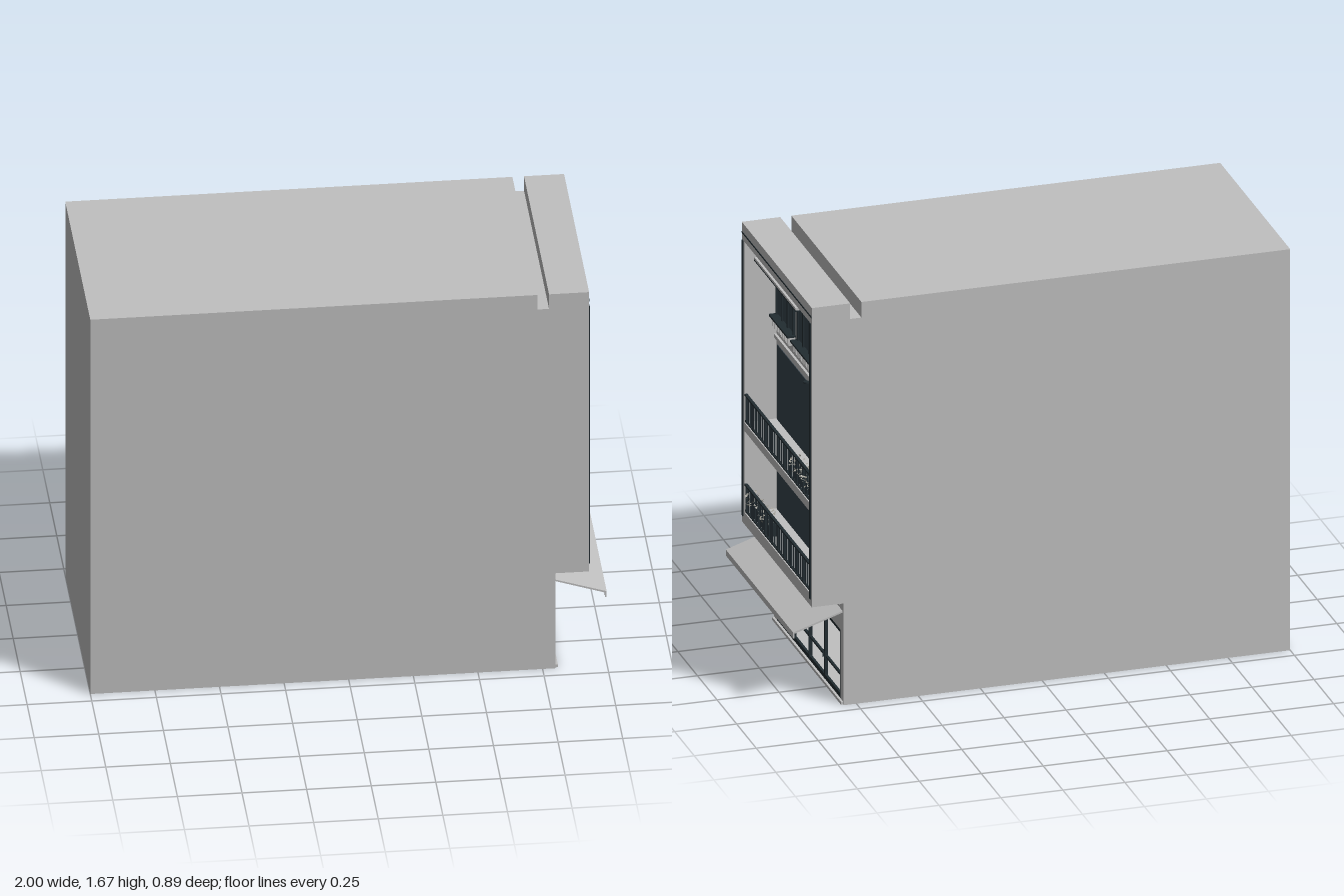
import * as THREE from 'three';
import { mergeGeometries } from 'three/addons/utils/BufferGeometryUtils.js';

const material = (name, color) => {
  const m = new THREE.MeshStandardMaterial({ color });
  m.name = name;
  return m;
};

export function createModel() {
  const model = new THREE.Group();
  model.name = 'townhouse';
  const wall = material('pale wall', 0xc0c0c0);
  const dark = material('dark metal', 0x222c31);
  const glass = material('smoky glass', 0x37434b);
  const leaf = material('pale foliage', 0xa5a298);
  leaf.side = THREE.DoubleSide;

  const add = (name, mat, geo, parent = model) => {
    const mesh = new THREE.Mesh(geo, mat);
    mesh.name = name;
    parent.add(mesh);
    return mesh;
  };
  // box geometry given by its limits on each axis
  const block = (x0, x1, y0, y1, z0, z1) =>
    new THREE.BoxGeometry(x1 - x0, y1 - y0, z1 - z0)
      .translate((x0 + x1) / 2, (y0 + y1) / 2, (z0 + z1) / 2);
  const box = (name, mat, ...limits) => add(name, mat, block(...limits));
  // side profile (x, y) pulled from z0 to z1
  const profile = (name, points, z0, z1) => {
    const shape = new THREE.Shape(points.map(([x, y]) => new THREE.Vector2(x, y)));
    const geo = new THREE.ExtrudeGeometry(shape, { depth: z1 - z0, bevelEnabled: false });
    return add(name, wall, geo.translate(0, 0, z0));
  };

  // roof outline with the narrow gutter, shared by core and side walls
  const roof = [[0.93, 1.675], [0.775, 1.675], [0.775, 1.61], [0.73, 1.61], [0.73, 1.675], [-1, 1.675]];

  // core: hollow shop, two balconies and a recessed top floor
  profile('buildingCore', [
    [-1, 0], [0.8, 0], [0.8, 0.012], [0.35, 0.012], [0.35, 0.33], [0.78, 0.33], [0.78, 0.297], [0.8, 0.297],
    [0.8, 0.425], [0.93, 0.425], [0.93, 0.475], [0.8, 0.475],
    [0.8, 0.815], [0.93, 0.815], [0.93, 0.85], [0.8, 0.85],
    [0.8, 1.605], [0.93, 1.605], ...roof], -0.415, 0.415);
  for (const s of [-1, 1]) {
    const z = s * 0.431;
    profile('sideWall', [[-1, 0], [0.8, 0], [0.8, 0.425], [0.93, 0.425], ...roof], z - 0.016, z + 0.016);
    box('cornerStrip', dark, 0.929, 0.934, 0.455, 1.605, z - 0.008, z + 0.008);
    box('shopPier', wall, 0.78, 0.801, 0, 0.425, s * 0.425 - 0.02, s * 0.425 + 0.02);
  }
  box('parapetLine', dark, 0.929, 0.932, 1.632, 1.638, -0.445, 0.445);
  box('threshold', wall, 0.795, 0.81, 0, 0.012, -0.44, 0.44);
  box('lowerMoulding', wall, 0.79, 0.81, 1.19, 1.205, -0.415, 0.415);
  box('upperMoulding', wall, 0.79, 0.81, 1.57, 1.605, -0.415, 0.415);
  box('shopMoulding', wall, 0.79, 0.808, 0.405, 0.425, -0.405, 0.405);

  // shop front frame with door handles
  const shop = [
    block(0.79, 0.8, 0.285, 0.297, -0.405, 0.405),
    block(0.79, 0.8, 0.105, 0.113, -0.405, 0.405),
    block(0.79, 0.8, 0.012, 0.03, -0.405, 0.405)];
  for (const z of [-0.402, -0.202, 0, 0.202, 0.402]) shop.push(block(0.788, 0.801, 0.012, 0.297, z - 0.005, z + 0.005));
  for (const z of [-0.202, 0.202])
    for (const s of [-1, 1]) shop.push(block(0.8, 0.806, 0.1, 0.13, z + s * 0.012 - 0.002, z + s * 0.012 + 0.002));
  add('shopFrontFrame', dark, mergeGeometries(shop));

  // sloping awning with a front lip
  profile('awning', [[0.8, 0.38], [0.994, 0.316], [0.994, 0.297], [1, 0.297], [1, 0.322], [0.8, 0.387]], -0.43, 0.43);

  // seeded random numbers for the foliage
  let seed = 7;
  const random = () => (seed = (seed * 16807) % 2147483647) / 2147483647;

  // balcony glazing, railing, plants and lamp
  const balcony = (floor, plantStart) => {
    box('balconyGlass', glass, 0.795, 0.803, floor + 0.003, floor + 0.315, -0.402, 0.402);
    const bars = [
      block(0.918, 0.93, floor + 0.112, floor + 0.119, -0.415, 0.415),
      block(0.92, 0.928, floor + 0.004, floor + 0.01, -0.415, 0.415)];
    for (let i = 0; i <= 50; i++) {
      const z = -0.405 + i * 0.0162, w = i % 5 ? 0.0015 : 0.003;
      bars.push(block(0.924 - w, 0.924 + w, floor, floor + 0.115, z - w, z + w));
    }
    add('balconyRailing', dark, mergeGeometries(bars));
    box('planter', dark, 0.88, 0.912, floor, floor + 0.045, plantStart, plantStart + 0.25);
    const leaves = [];
    for (let i = 0; i < 170; i++) {
      leaves.push(new THREE.CircleGeometry(0.005, 4)
        .rotateX(random() * 3).rotateY(random() * 3)
        .translate(0.88 + random() * 0.055, floor + 0.045 + random() * 0.05, plantStart + random() * 0.25));
    }
    add('balconyPlants', leaf, mergeGeometries(leaves));
  };
  balcony(0.475, 0.15);
  balcony(0.85, -0.398);
  for (const [x, y] of [[0.865, 0.812], [0.81, 1.17]])
    add('lamp', dark, new THREE.CylinderGeometry(0.012, 0.012, 0.006, 16).translate(x, y, 0));
  for (const z of [-0.28, 0, 0.28])
    add('downlight', dark, new THREE.CylinderGeometry(0.009, 0.009, 0.004, 16).translate(0.87, 1.604, z));

  // top floor windows
  for (const z of [0.285, 0.015]) {
    box('windowGlass', glass, 0.795, 0.804, 1.3, 1.513, z - 0.11, z + 0.11);
    const frame = [
      block(0.8, 0.81, 1.456, 1.464, z - 0.11, z + 0.11),
      block(0.8, 0.81, 1.507, 1.515, z - 0.11, z + 0.11),
      block(0.8, 0.835, 1.288, 1.296, z - 0.118, z + 0.118)];
    for (const dz of [-0.107, -0.036, 0.036, 0.107]) frame.push(block(0.8, 0.81, 1.296, 1.51, z + dz - 0.004, z + dz + 0.004));
    add('windowFrame', dark, mergeGeometries(frame));
    // light grille under the sill
    const grille = [];
    for (let i = 0; i < 14; i++) grille.push(block(0.8, 0.825, 1.25, 1.288, z - 0.105 + i * 0.016, z - 0.1 + i * 0.016));
    add('sillGrille', wall, mergeGeometries(grille));
  }
  box('windowCanopy', wall, 0.8, 0.89, 1.525, 1.535, -0.115, 0.415);
  box('canopyEdge', dark, 0.8, 0.89, 1.52, 1.525, -0.115, 0.415);

  // slatted screen
  const slats = [];
  for (let i = 0; i < 14; i++) {
    const z = -0.395 + i * 0.0203;
    slats.push(block(0.815, 0.835, 1.24, 1.538, z - 0.0075, z + 0.0075));
  }
  add('screenSlats', wall, mergeGeometries(slats));
  box('screenBacking', dark, 0.8, 0.806, 1.24, 1.538, -0.403, -0.125);
  for (const y of [1.232, 1.538]) box('screenRail', dark, 0.8, 0.838, y, y + 0.007, -0.41, -0.122);

  return model;
}
